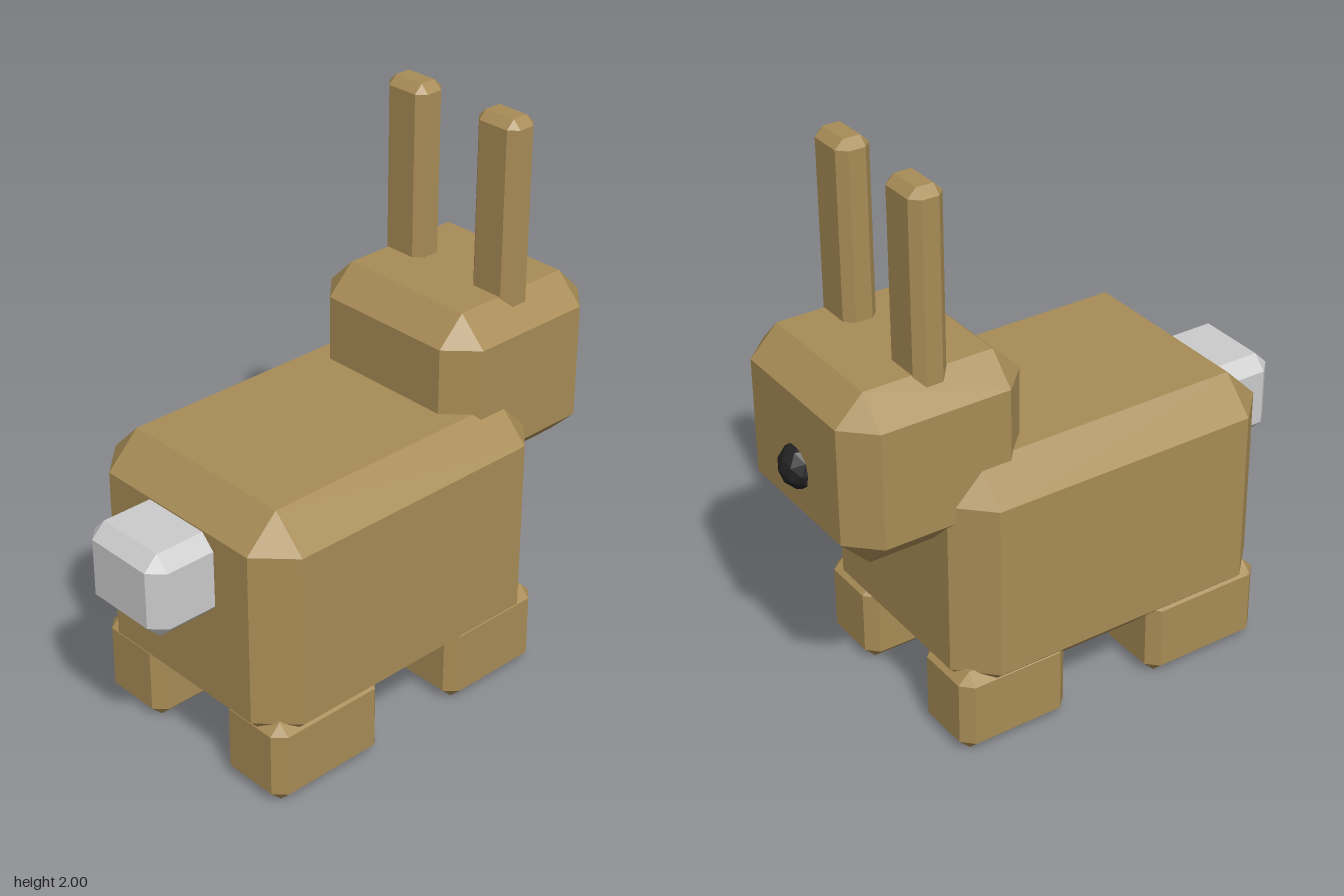
import * as THREE from 'three';
import { ConvexGeometry } from 'three/addons/geometries/ConvexGeometry.js';

const material = (color) => new THREE.MeshStandardMaterial({ color, flatShading: true });

// Box between two corners with every edge cut flat by c
function chamferBox(min, max, c) {
  const mid = min.map((v, i) => (v + max[i]) / 2);
  const half = min.map((v, i) => (max[i] - v) / 2);
  const points = [];
  for (const sx of [-1, 1]) for (const sy of [-1, 1]) for (const sz of [-1, 1]) {
    const sign = [sx, sy, sz];
    // each corner becomes three points, one on each adjoining face
    for (let face = 0; face < 3; face++) {
      points.push(new THREE.Vector3(...sign.map((s, i) => mid[i] + s * (half[i] - (i === face ? 0 : c)))));
    }
  }
  return new ConvexGeometry(points);
}

export function createModel() {
  const model = new THREE.Group();
  const fur = material(0xa88c56);
  const grey = material(0xcccccc);
  const black = material(0x222222);

  const add = (name, geometry, mat) => {
    const mesh = new THREE.Mesh(geometry, mat);
    mesh.name = name;
    model.add(mesh);
    return mesh;
  };
  const addBox = (name, min, max, c, mat = fur) => add(name, chamferBox(min, max, c), mat);

  // Mirrored boxes; x runs from inner to outer
  const addPair = (name, [x0, y0, z0], [x1, y1, z1], c) => {
    addBox('left' + name, [x0, y0, z0], [x1, y1, z1], c);
    addBox('right' + name, [-x1, y0, z0], [-x0, y1, z1], c);
  };

  // Trunk and head
  addBox('body', [-0.46, 0.18, -0.535], [0.46, 1.05, 0.692], 0.12);
  addBox('head', [-0.36, 0.772, -0.87], [0.36, 1.385, -0.206], 0.1);

  // Ears, sunk into the head
  addPair('Ear', [0.115, 1.28, -0.598], [0.295, 2.0, -0.478], 0.03);

  // Feet, sunk into the underside of the body
  addPair('FootNearNose', [0.165, 0, -0.54], [0.436, 0.31, -0.125], 0.04);
  addPair('FootNearTail', [0.165, 0, 0.21], [0.448, 0.31, 0.67], 0.04);

  // Tail
  addBox('tail', [-0.18, 0.62, 0.56], [0.18, 0.925, 0.925], 0.05, grey);

  // Nose
  add('nose', new THREE.IcosahedronGeometry(0.082, 1), black).position.set(0, 1.025, -0.845);

  return model;
}
